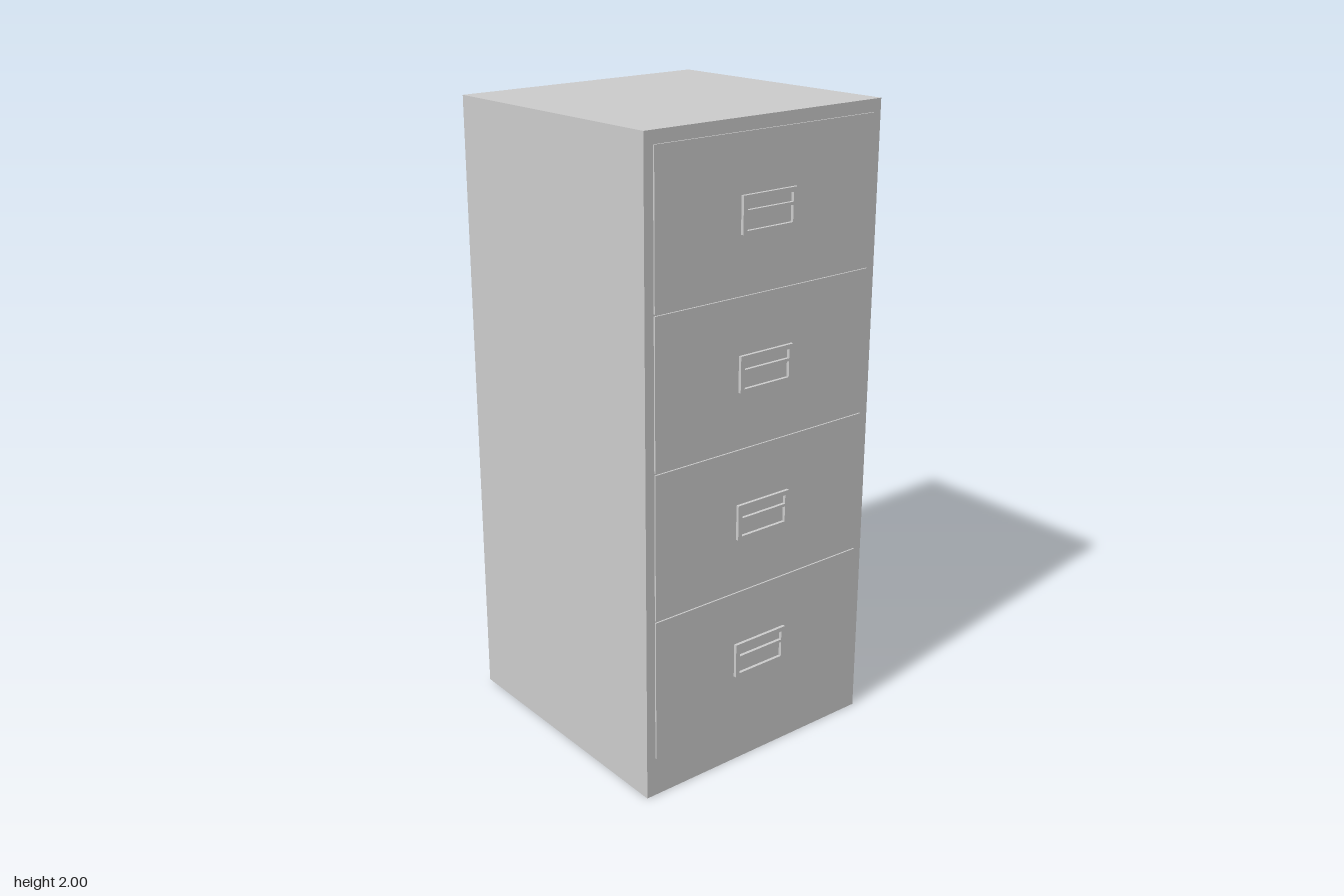
import * as THREE from 'three';

const mat = new THREE.MeshStandardMaterial({ color: 0xcccccc, flatShading: true });

// Closed rectangle outline, centred on x, from y0 to y1
function rect(path, halfWidth, y0, y1) {
  path.moveTo(-halfWidth, y0);
  path.lineTo(halfWidth, y0);
  path.lineTo(halfWidth, y1);
  path.lineTo(-halfWidth, y1);
  path.closePath();
  return path;
}

function add(parent, name, geometry, x, y, z) {
  const mesh = new THREE.Mesh(geometry, mat);
  mesh.name = name;
  mesh.position.set(x, y, z);
  parent.add(mesh);
  return mesh;
}

export function createModel() {
  const model = new THREE.Group();
  model.name = 'filingCabinet';

  // Cabinet shell, very slightly lower at the back of the drawers
  const shell = new THREE.BoxGeometry(0.875, 2, 0.864);
  shell.translate(-0.0075, 1, 0);
  const p = shell.attributes.position;
  for (let i = 0; i < p.count; i++) {
    if (p.getX(i) < 0) p.setY(i, p.getY(i) > 1 ? 1.986 : 0.01);
  }
  shell.computeVertexNormals();
  add(model, 'cabinetShell', shell, 0, 0, 0);

  // Label holder and pull: a thin frame with two openings
  const frame = rect(new THREE.Shape(), 0.1, -0.055, 0.055);
  frame.holes.push(rect(new THREE.Path(), 0.085, 0.013, 0.041));
  frame.holes.push(rect(new THREE.Path(), 0.085, -0.045, 0.004));
  const handle = new THREE.ExtrudeGeometry(frame, { depth: 0.011, bevelEnabled: false });
  handle.rotateY(Math.PI / 2);

  // Four drawers stacked up the +x face, with narrow gaps between them
  const pitch = 0.46;
  const front = new THREE.BoxGeometry(0.02, pitch - 0.006, 0.802);
  for (let i = 0; i < 4; i++) {
    const drawer = new THREE.Group();
    drawer.name = `drawer${i + 1}`;
    drawer.position.y = 0.125 + pitch * (i + 0.5);
    add(drawer, 'drawerFront', front, 0.425, 0, 0);
    add(drawer, 'drawerHandle', handle, 0.434, 0, 0);
    model.add(drawer);
  }

  return model;
}
